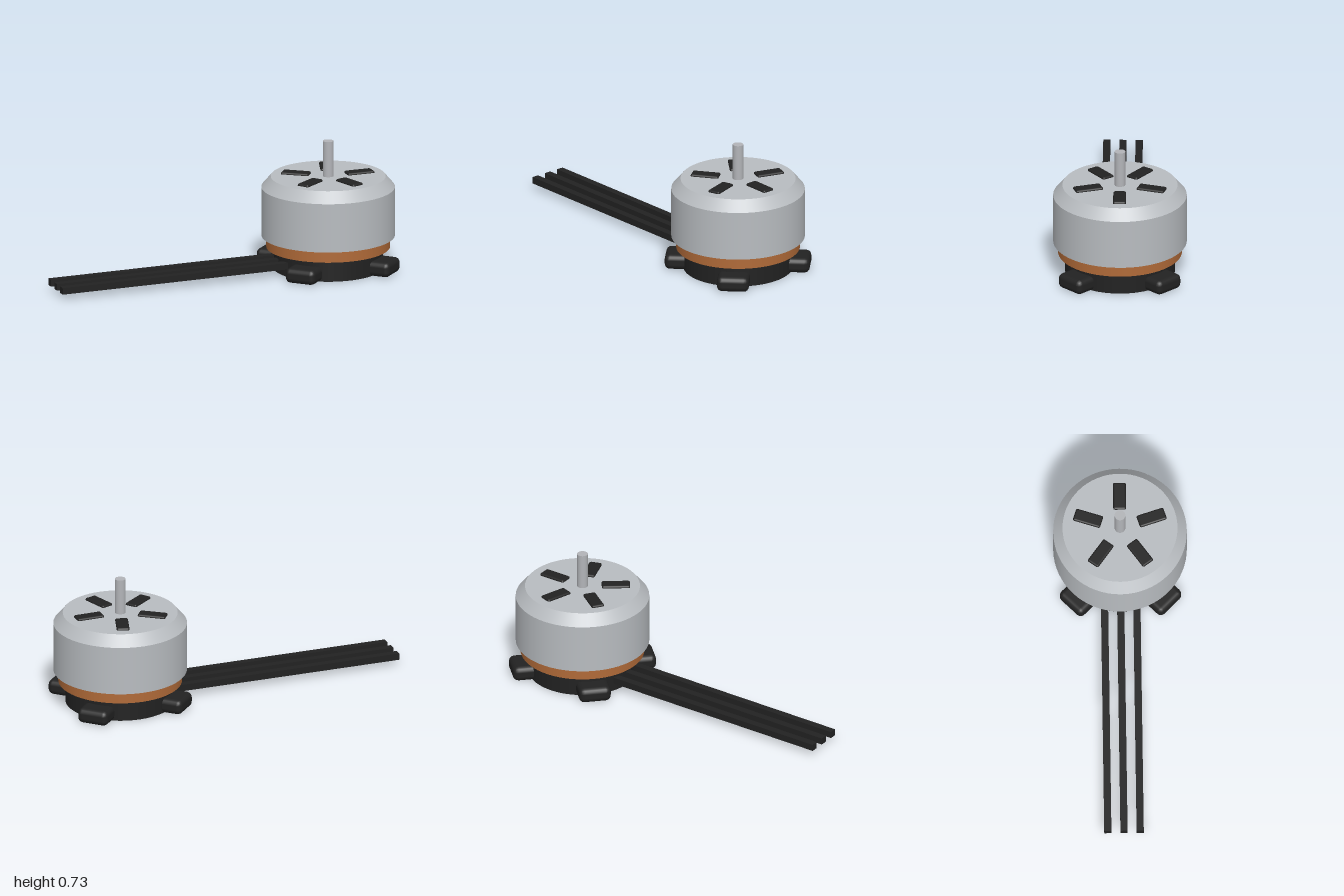
import * as THREE from 'three';
import { RoundedBoxGeometry } from 'three/addons/geometries/RoundedBoxGeometry.js';

const material = (name, color) => {
  const m = new THREE.MeshStandardMaterial({ color });
  m.name = name;
  return m;
};

export function createModel() {
  const silver = material('silver', 0xb8bcc0);
  const steel = material('steel', 0xb2b4b8);
  const copper = material('copper', 0xb06a38);
  const black = material('black', 0x222222);

  const model = new THREE.Group();
  model.name = 'brushlessMotor';
  const motor = new THREE.Group();
  motor.name = 'motor';
  motor.position.x = 0.628;
  model.add(motor);

  const add = (parent, name, geometry, mat, x = 0, y = 0, z = 0) => {
    const mesh = new THREE.Mesh(geometry, mat);
    mesh.name = name;
    mesh.position.set(x, y, z);
    parent.add(mesh);
    return mesh;
  };
  // Upright round part between two heights
  const drum = (name, rTop, rBottom, y0, y1, mat, open = false) =>
    add(motor, name, new THREE.CylinderGeometry(rTop, rBottom, y1 - y0, 64, 1, open), mat, 0, (y0 + y1) / 2);

  // Stacked body
  drum('base', 0.305, 0.305, 0, 0.122, black);
  drum('winding', 0.345, 0.345, 0.121, 0.2, copper);
  drum('bell', 0.372, 0.372, 0.187, 0.466, silver);
  drum('bellShoulder', 0.32, 0.372, 0.466, 0.527, silver, true);
  add(motor, 'bellTop', new THREE.CircleGeometry(0.32, 64).rotateX(-Math.PI / 2), silver, 0, 0.527);
  drum('shaft', 0.03, 0.03, 0.5, 0.73, steel);

  // Dark magnet ring under the bell
  add(motor, 'magnetRing', new THREE.RingGeometry(0.34, 0.366, 64).rotateX(Math.PI / 2), black, 0, 0.186);

  // Five radial vents on the bell
  for (let i = 0; i < 5; i++) {
    const a = (i * Math.PI * 2) / 5;
    const vent = add(motor, 'vent', new RoundedBoxGeometry(0.158, 0.024, 0.072, 2, 0.01), black,
      0.186 * Math.cos(a), 0.527, -0.186 * Math.sin(a));
    vent.rotation.y = a;
  }

  // Four mounting feet on the diagonals
  for (let i = 0; i < 4; i++) {
    const a = Math.PI / 4 + (i * Math.PI) / 2;
    const foot = add(motor, 'mountingFoot', new RoundedBoxGeometry(0.2, 0.085, 0.18, 2, 0.03), black,
      0.305 * Math.cos(a), 0.0425, -0.305 * Math.sin(a));
    foot.rotation.y = a;
  }

  // Three slightly sloping square wires
  for (const z of [-0.09, 0, 0.09]) {
    const wire = add(model, 'wire', new THREE.BoxGeometry(1.42, 0.038, 0.04), black, -0.29, 0.058, z);
    wire.rotation.z = 0.0077;
  }
  return model;
}
